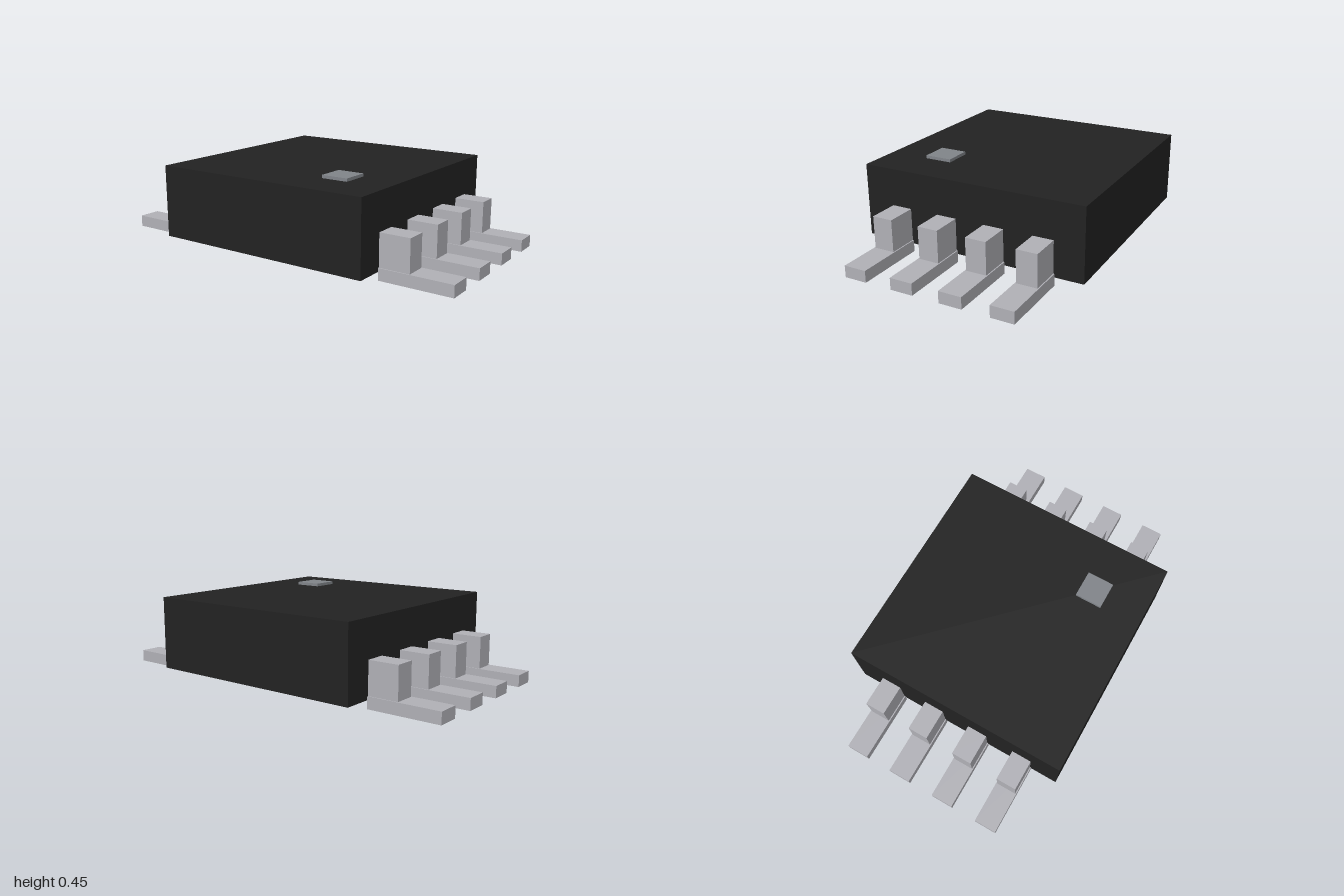
import * as THREE from 'three';

const material = (name, color) => {
  const m = new THREE.MeshStandardMaterial({ color });
  m.name = name;
  return m;
};

// Box given by its x centre, width, and y and z ranges
function box(name, mat, x, width, [y0, y1], [z0, z1]) {
  const mesh = new THREE.Mesh(new THREE.BoxGeometry(width, y1 - y0, z1 - z0), mat);
  mesh.position.set(x, (y0 + y1) / 2, (z0 + z1) / 2);
  mesh.name = name;
  return mesh;
}

export function createModel() {
  const black = material('black plastic', 0x222222);
  const metal = material('lead metal', 0xb0b0b6);
  const grey = material('marker grey', 0x808489);

  const model = new THREE.Group();
  model.name = 'chipPackage';

  // Package and raised pin-one marker
  model.add(box('body', black, 0, 1.224, [0.043, 0.43], [-0.612, 0.612]));
  model.add(box('pinOneMarker', grey, -0.32, 0.146, [0.43, 0.446], [0.245, 0.391]));

  // Four stepped leads on the front and four on the back
  for (const side of [1, -1]) {
    for (let i = 0; i < 4; i++) {
      const lead = new THREE.Group();
      lead.name = (side > 0 ? 'frontLead' : 'backLead') + (i + 1);
      lead.add(box('leadFoot', metal, 0, 0.122, [0, 0.062], [0.612, 1]));
      lead.add(box('leadPost', metal, 0, 0.11, [0.062, 0.233], [0.612, 0.775]));
      lead.position.x = (i - 1.5) * 0.2667;
      if (side < 0) lead.rotation.y = Math.PI;
      model.add(lead);
    }
  }
  return model;
}
